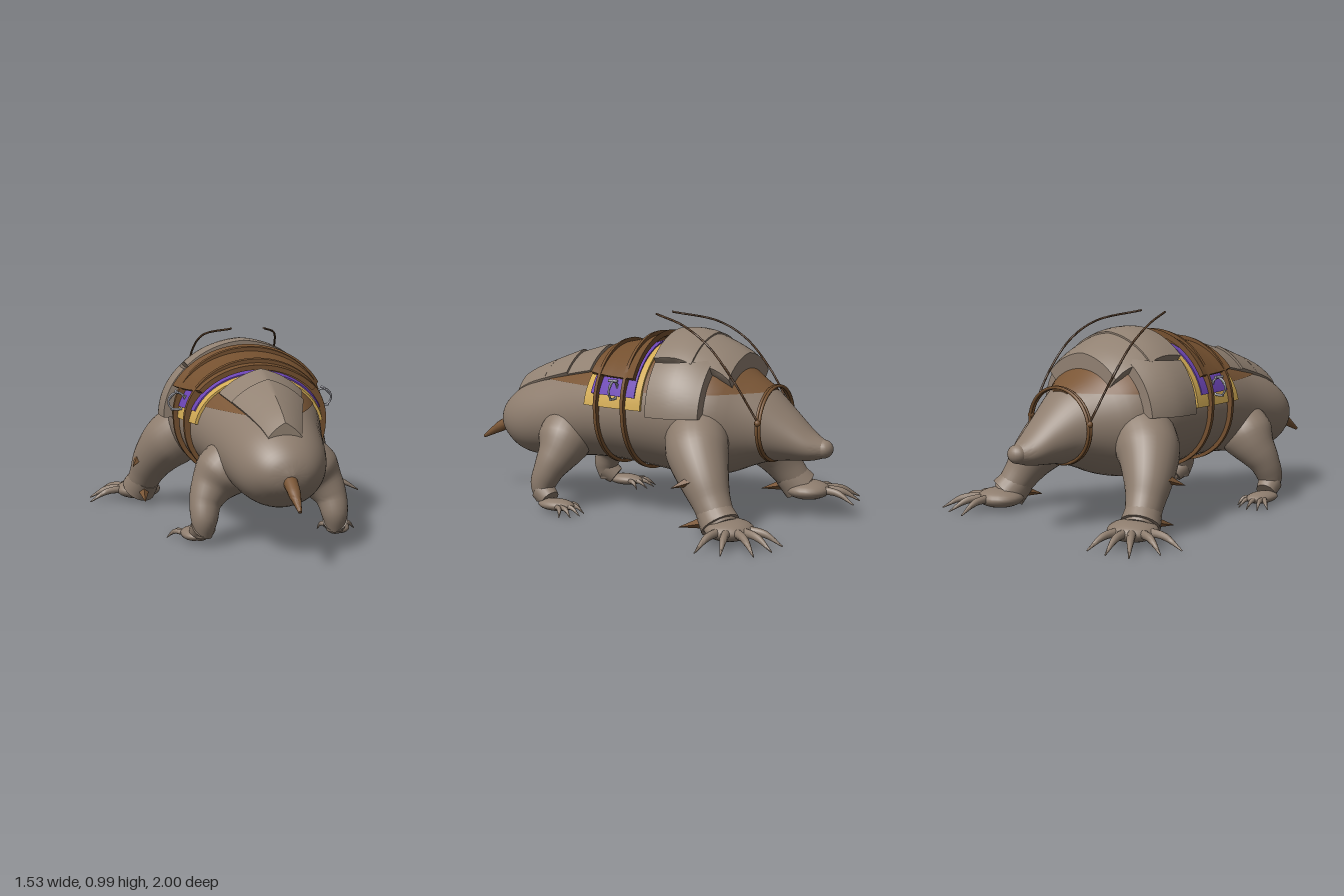
import * as THREE from 'three';
import { toCreasedNormals } from 'three/addons/utils/BufferGeometryUtils.js';

const mat = (name, color) => new THREE.MeshStandardMaterial({ name, color });
const V = (x, y, z) => new THREE.Vector3(x, y, z);

// Body stations: z, top y, bottom y, half width
const STATIONS = [
  [-0.97, 0.41, 0.335, 0.042], [-0.9, 0.455, 0.315, 0.088], [-0.8, 0.55, 0.308, 0.13],
  [-0.7, 0.643, 0.297, 0.18], [-0.6, 0.71, 0.265, 0.25], [-0.5, 0.78, 0.225, 0.33],
  [-0.35, 0.85, 0.195, 0.375], [-0.2, 0.855, 0.21, 0.372], [0, 0.81, 0.235, 0.35],
  [0.2, 0.757, 0.245, 0.31], [0.4, 0.7, 0.23, 0.265], [0.6, 0.635, 0.22, 0.228],
  [0.7, 0.59, 0.24, 0.195], [0.78, 0.53, 0.295, 0.14], [0.82, 0.475, 0.345, 0.08], [0.838, 0.415, 0.405, 0.006],
];

// Smooth interpolation between stations
function section(z) {
  const S = STATIONS, n = S.length;
  let i = 0;
  while (i < n - 2 && z > S[i + 1][0]) i++;
  const a = S[i], b = S[i + 1], d = b[0] - a[0];
  const t = THREE.MathUtils.clamp((z - a[0]) / d, 0, 1), t2 = t * t, t3 = t2 * t;
  const slope = (j, k) => {
    const p = S[Math.max(j - 1, 0)], q = S[Math.min(j + 1, n - 1)];
    return (q[k] - p[k]) / (q[0] - p[0]);
  };
  const f = k => (2 * t3 - 3 * t2 + 1) * a[k] + (t3 - 2 * t2 + t) * d * slope(i, k)
    + (3 * t2 - 2 * t3) * b[k] + (t3 - t2) * d * slope(i + 1, k);
  const top = f(1), bottom = f(2);
  return { c: (top + bottom) / 2, h: (top - bottom) / 2, w: f(3) };
}
function onBody(z, a, off = 0) {
  const s = section(z);
  return V((s.w + off) * Math.cos(a), s.c + (s.h + off) * Math.sin(a), z);
}

// Closed solid through rings of equal size, wound outward by its signed volume
function loft(rings, crease = 0.7) {
  const m = rings[0].length, pos = [], idx = [];
  const center = r => r.reduce((s, p) => s.add(p), V(0, 0, 0)).divideScalar(m);
  const pts = rings.flat().concat([center(rings[0]), center(rings.at(-1))]);
  for (let i = 0; i < rings.length - 1; i++) for (let j = 0; j < m; j++) {
    const a = i * m + j, b = i * m + (j + 1) % m;
    idx.push(a, b, a + m, b, b + m, a + m);
  }
  const last = (rings.length - 1) * m;
  for (let j = 0; j < m; j++) {
    const k = (j + 1) % m;
    idx.push(rings.length * m, k, j, rings.length * m + 1, last + j, last + k);
  }
  let volume = 0;
  for (let i = 0; i < idx.length; i += 3)
    volume += pts[idx[i]].dot(V(0, 0, 0).crossVectors(pts[idx[i + 1]], pts[idx[i + 2]]));
  if (volume < 0) idx.reverse();
  pts.forEach(p => pos.push(p.x, p.y, p.z));
  const g = new THREE.BufferGeometry();
  g.setAttribute('position', new THREE.Float32BufferAttribute(pos, 3));
  g.setIndex(idx);
  return toCreasedNormals(g, crease);
}

// Tapered tube along a smooth path
function limb(points, radii, sides = 16, steps = 20) {
  const curve = new THREE.CatmullRomCurve3(points.map(p => V(...p)));
  const fr = curve.computeFrenetFrames(steps);
  const rings = [];
  for (let i = 0; i <= steps; i++) {
    const u = i / steps, f = u * (radii.length - 1), k = Math.min(Math.floor(f), radii.length - 2);
    const r = THREE.MathUtils.lerp(radii[k], radii[k + 1], f - k), p = curve.getPointAt(u);
    rings.push(Array.from({ length: sides }, (_, j) => {
      const a = j / sides * Math.PI * 2;
      return p.clone().addScaledVector(fr.normals[i], r * Math.cos(a)).addScaledVector(fr.binormals[i], r * Math.sin(a));
    }));
  }
  return loft(rings, 1);
}

// Curved slab hugging the body. profile: [z, offset]; limits(z): angle range
function shell(profile, limits, inner = -0.01, extra = () => 0, steps = 32) {
  const rows = [];
  for (let i = 0; i < profile.length - 1; i++) for (let k = 0; k < 5; k++)
    rows.push(profile[i].map((v, q) => THREE.MathUtils.lerp(v, profile[i + 1][q], k / 5)));
  rows.push(profile.at(-1));
  const rings = [];
  for (let i = 0; i <= steps; i++) {
    const at = (z, off) => {
      const [a0, a1] = limits(z), a = a0 + (a1 - a0) * i / steps;
      return onBody(z, a, off === null ? inner : off + extra(a, a0));
    };
    rings.push([...rows.map(r => at(r[0], r[1])), ...rows.slice().reverse().map(r => at(r[0], null))]);
  }
  return loft(rings, 0.6);
}
const span = a => [a, Math.PI - a];
const angleAtY = (z, y) => { const s = section(z); return Math.asin(THREE.MathUtils.clamp((y - s.c) / s.h, -1, 1)); };
const aboveY = y => z => span(angleAtY(z, y));
const withinX = f => z => span(Math.acos(Math.min(1, f(z) / section(z).w)));
// Extra height rising to a crest along the middle
const ridge = height => (a, a0) => height * (1 - Math.abs(Math.cos(a)) / Math.cos(a0));

export function createModel() {
  const model = new THREE.Group();
  model.name = 'saddledBurrower';
  const skin = mat('skin', 0x8e7d6e), plate = mat('armourPlate', 0x918172), hide = mat('backHide', 0x7a5636);
  const leather = mat('leather', 0x74502f), cord = mat('cord', 0x5c412b), gold = mat('goldTrim', 0xd2ab55);
  const cloth = mat('purpleCloth', 0x6c45b4), metal = mat('metal', 0x9c9ca4);
  const add = (name, geo, m) => {
    const mesh = new THREE.Mesh(geo, m);
    mesh.name = name;
    model.add(mesh);
    return mesh;
  };

  // Body, nose, tail and coloured back
  const rings = [];
  for (let i = 0; i <= 64; i++) {
    const z = -0.97 + 1.808 * (0.5 - 0.5 * Math.cos(Math.PI * i / 64));
    rings.push(Array.from({ length: 48 }, (_, j) => onBody(z, j / 48 * Math.PI * 2)));
  }
  add('body', loft(rings, 1.2), skin);
  const nose = add('nose', new THREE.SphereGeometry(0.045, 20, 14), skin);
  nose.position.set(0, 0.375, -0.955);
  nose.scale.x = 1.15;
  add('tail', limb([[0, 0.39, 0.79], [0, 0.35, 0.88], [0, 0.28, 1]], [0.036, 0.029, 0.008], 12), hide);
  add('backHide', shell([[-0.7, 0.004], [-0.5, 0.004], [-0.2, 0.004], [0.1, 0.004], [0.4, 0.004], [0.58, 0.004]], aboveY(0.636)), hide);

  // Ridged rump plates
  const rumpWidth = withinX(z => 0.2 - 0.235 * (z - 0.2));
  [[0.21, 0.016, 0.385, 0.013], [0.365, 0.026, 0.55, 0.012], [0.53, 0.014, 0.72, 0.004]].forEach(([z0, o0, z1, o1]) =>
    add('rumpPlate', shell([[z0, o0], [z1, o1]], rumpWidth, -0.01, ridge(0.052)), plate));

  // Shoulder hump plates and side plates
  add('humpPlateBack', shell([[-0.195, 0.05], [-0.395, 0.054]], withinX(() => 0.26), -0.01, ridge(0.018)), plate);
  add('humpPlateFront', shell([[-0.385, 0.046], [-0.565, 0.062]], withinX(z => 0.25 + (z + 0.39) * 0.3), -0.01, ridge(0.018)), plate);
  for (const s of [1, -1]) add('shoulderPlate', shell([[-0.21, 0.045], [-0.34, 0.052], [-0.475, 0.055]],
    z => [angleAtY(z, 0.53), angleAtY(z, 0.75)].map(a => s > 0 ? a : Math.PI - a)), plate);

  // Saddle blanket, raised saddle and girth straps
  add('blanketTrim', shell([[-0.165, 0.014], [0.18, 0.014]], aboveY(0.55)), gold);
  add('blanketCloth', shell([[-0.13, 0.02], [0.14, 0.02]], aboveY(0.605)), cloth);
  add('saddle', shell([[-0.13, 0.066], [-0.08, 0.055], [0.01, 0.052], [0.1, 0.055], [0.15, 0.062]], aboveY(0.675), 0.038), leather);
  for (const z of [-0.07, 0.095]) add('girthStrap', shell([[z - 0.009, 0.03], [z + 0.009, 0.03]],
    () => [0, Math.PI * 2], 0.002, a => 0.044 * Math.max(0, Math.sin(a)) - 0.012 * Math.max(0, -Math.sin(a)), 72), leather);

  // Loose bridle band around the snout
  for (const z of [-0.698, -0.712]) {
    const pts = Array.from({ length: 32 }, (_, i) => {
      const a = i / 32 * Math.PI * 2;
      return V(0.218 * Math.cos(a), 0.481 + 0.18 * Math.sin(a), z);
    });
    add('bridleBand', new THREE.TubeGeometry(new THREE.CatmullRomCurve3(pts, true), 64, 0.008, 8, true), leather);
  }

  for (const s of [1, -1]) {
    const side = pts => pts.map(([x, y, z]) => [s * x, y, z]);

    // Reins and bridle knot
    add('rein', limb(side([[0.215, 0.52, -0.7], [0.23, 0.71, -0.58], [0.222, 0.86, -0.45], [0.19, 0.945, -0.31], [0.085, 0.992, -0.1]]),
      [0.0055, 0.0055], 8, 32), cord);
    add('bridleKnot', new THREE.SphereGeometry(0.016, 10, 8), leather).position.set(s * 0.218, 0.51, -0.704);

    // Metal stirrup with hanger
    add('stirrupRing', new THREE.TorusGeometry(0.043, 0.005, 8, 24), metal).position.set(s * 0.38, 0.64, -0.02);
    add('stirrupHanger', limb(side([[0.33, 0.66, -0.02], [0.38, 0.685, -0.02], [0.42, 0.65, -0.02]]), [0.005, 0.005], 8), metal);
    const bar = add('stirrupBar', new THREE.CylinderGeometry(0.007, 0.007, 0.05, 8), metal);
    bar.position.set(s * 0.38, 0.688, -0.02);
    bar.rotation.x = Math.PI / 2;
    const peg = add('stirrupPeg', new THREE.CylinderGeometry(0.006, 0.006, 0.06, 8), metal);
    peg.position.set(s * 0.38, 0.6, -0.02);
    peg.rotation.z = Math.PI / 2;

    // Front leg, cuff, hand and claws
    add('frontLeg', limb(side([[0.13, 0.46, -0.38], [0.25, 0.435, -0.41], [0.345, 0.37, -0.455], [0.425, 0.26, -0.53], [0.465, 0.16, -0.59], [0.495, 0.07, -0.65]]),
      [0.1, 0.155, 0.15, 0.122, 0.092, 0.075], 28, 28), skin);
    add('wristCuff', limb(side([[0.465, 0.145, -0.59], [0.495, 0.075, -0.645]]), [0.083, 0.094], 20, 4), skin);
    const hand = add('hand', new THREE.SphereGeometry(1, 24, 16), skin);
    hand.position.set(s * 0.495, 0.06, -0.69);
    hand.scale.set(0.122, 0.05, 0.115);
    [[0.475, -0.945], [0.59, -0.94], [0.7, -0.9], [0.755, -0.765], [0.765, -0.645]].forEach(([x, z]) => {
      const mid = k => [0.495 + (x - 0.495) * k, 0, -0.69 + (z + 0.69) * k];
      const [a, b] = [mid(0.3), mid(0.65)];
      add('frontClaw', limb(side([[a[0], 0.064, a[2]], [b[0], 0.056, b[2]], [x, 0.006, z]]), [0.022, 0.017, 0.003], 10, 12), skin);
    });

    // Thorns on the front leg
    [[[0.5, 0.28, -0.53], [0.555, 0.235, -0.42], 0.034], [[0.48, 0.08, -0.58], [0.49, 0.04, -0.43], 0.034],
      [[0.42, 0.46, -0.52], [0.465, 0.44, -0.47], 0.016], [[0.43, 0.38, -0.56], [0.48, 0.37, -0.53], 0.014]]
      .forEach(([a, b, r]) => add('legThorn', limb(side([a, b]), [r, 0.001], 4, 2), hide));

    // Hind leg, foot and claws
    add('hindLeg', limb(side([[0.1, 0.41, 0.36], [0.19, 0.37, 0.355], [0.265, 0.29, 0.36], [0.31, 0.21, 0.39], [0.322, 0.13, 0.42], [0.325, 0.045, 0.415]]),
      [0.09, 0.14, 0.135, 0.1, 0.076, 0.064, 0.04], 28, 28), skin);
    add('ankleCuff', limb(side([[0.325, 0.1, 0.42], [0.34, 0.06, 0.37]]), [0.062, 0.05], 18, 4), skin);
    const foot = add('foot', new THREE.SphereGeometry(1, 20, 14), skin);
    foot.position.set(s * 0.36, 0.042, 0.32);
    foot.scale.set(0.06, 0.03, 0.1);
    [[0.29, 0.215], [0.335, 0.175], [0.395, 0.165], [0.45, 0.185], [0.475, 0.235]].forEach(([x, z]) => {
      const k = (x - 0.38) * 0.4;
      add('hindClaw', limb(side([[0.365 + k, 0.04, 0.29], [0.37 + k * 1.9, 0.038, (z + 0.27) / 2], [x, 0.006, z]]), [0.014, 0.012, 0.002], 8, 10), skin);
    });
  }
  return model;
}
